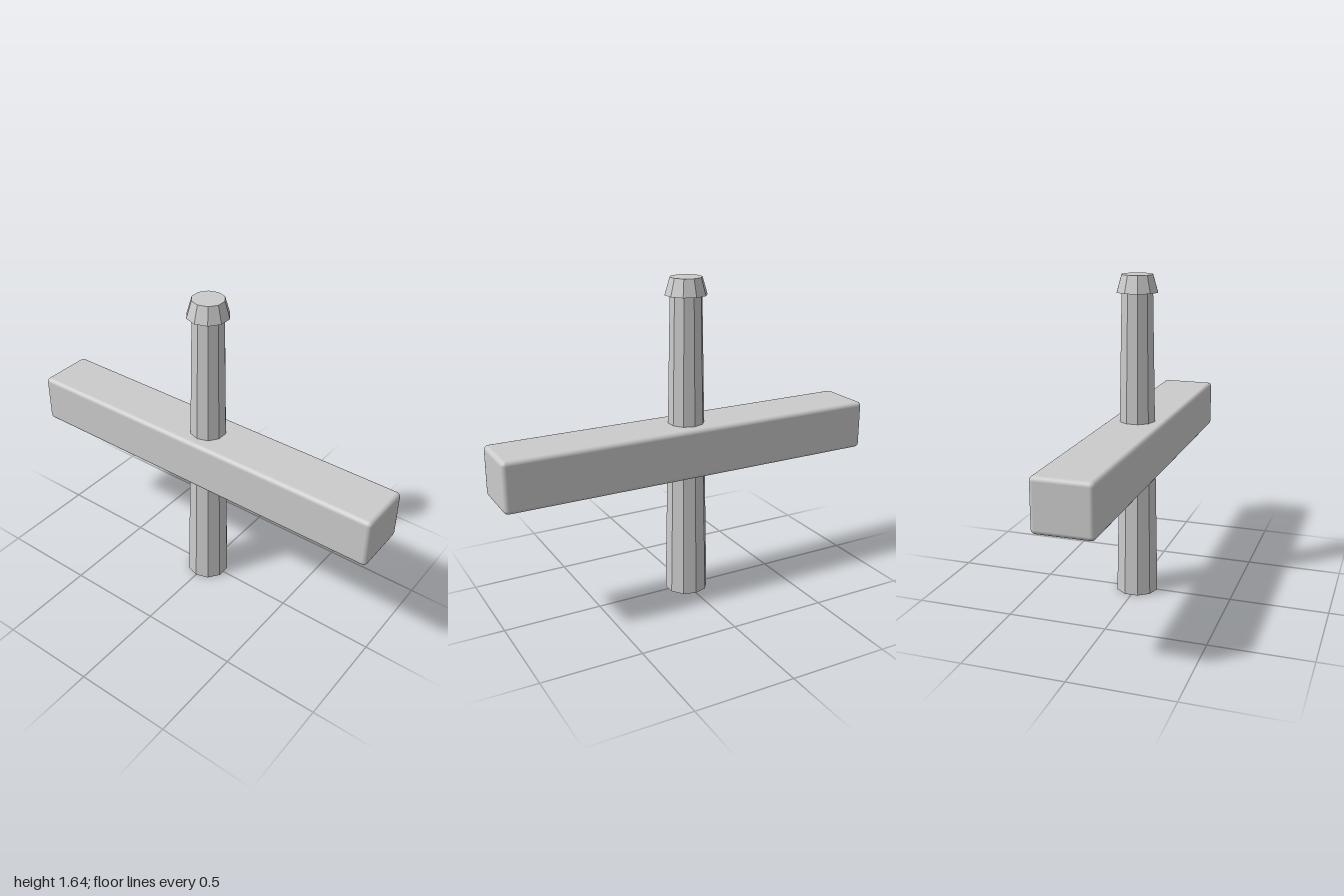
import * as THREE from 'three';
import { RoundedBoxGeometry } from 'three/addons/geometries/RoundedBoxGeometry.js';

export function createModel() {
  const model = new THREE.Group();
  const smooth = new THREE.MeshStandardMaterial({ color: 0xcccccc });
  const faceted = new THREE.MeshStandardMaterial({ color: 0xcccccc, flatShading: true });

  const add = (name, geometry, material, y) => {
    const mesh = new THREE.Mesh(geometry, material);
    mesh.name = name;
    mesh.position.y = y;
    model.add(mesh);
  };

  // ten-sided frustum standing between two heights
  const frustum = (name, bottomRadius, topRadius, y0, y1) =>
    add(name, new THREE.CylinderGeometry(topRadius, bottomRadius, y1 - y0, 10), faceted, (y0 + y1) / 2);

  // tapering upright and its wider cap
  frustum('post', 0.11, 0.08, 0, 1.55);
  frustum('cap', 0.105, 0.08, 1.55, 1.636);

  // crossbeam with softened edges
  add('crossbeam', new RoundedBoxGeometry(2, 0.255, 0.29, 2, 0.022), smooth, 0.783);

  return model;
}
